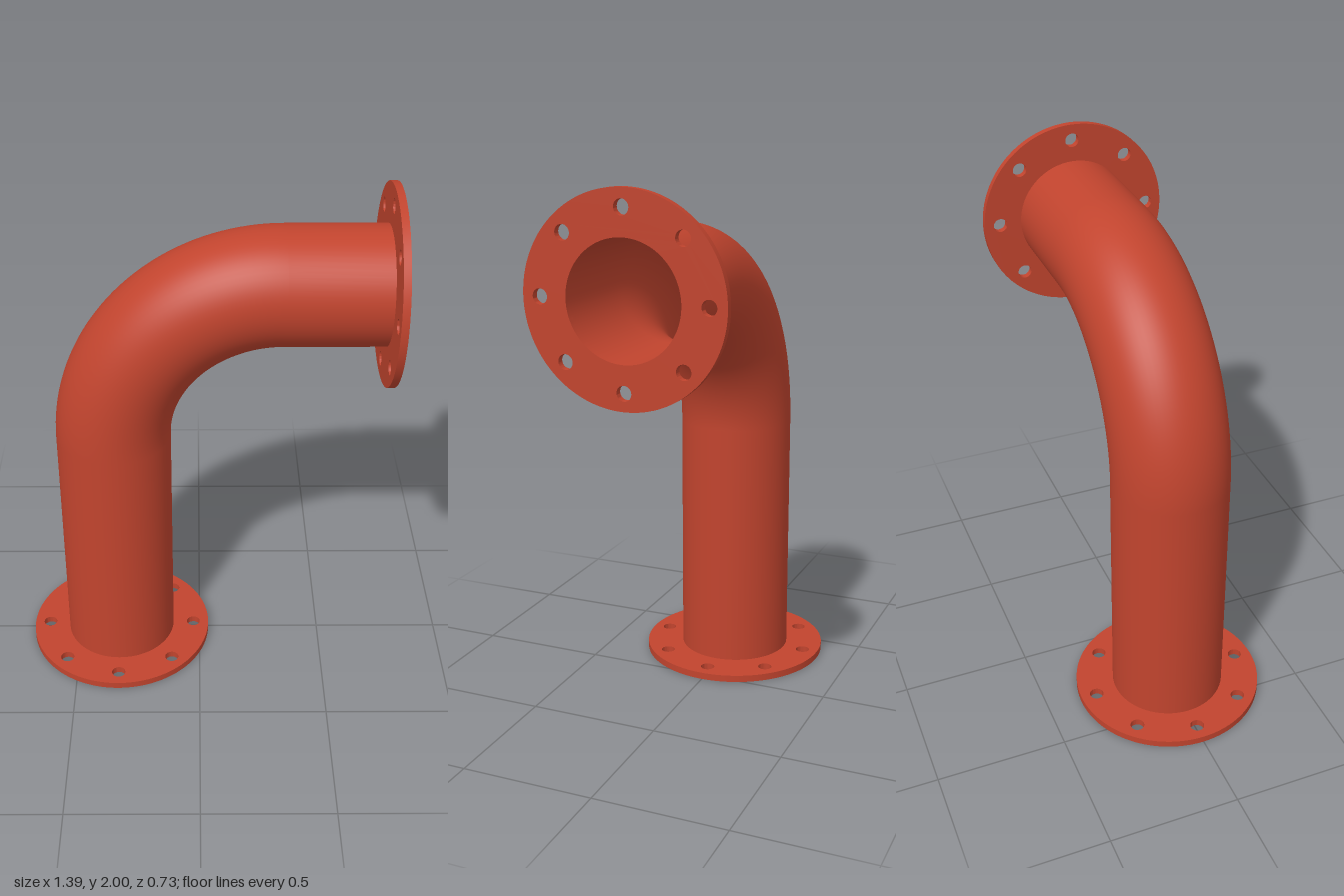
import * as THREE from 'three';
import { toCreasedNormals } from 'three/addons/utils/BufferGeometryUtils.js';

const OUTER = 0.22, INNER = 0.208;        // pipe radii
const FLANGE = 0.367, THICK = 0.027;      // flange radius and thickness
const BOLT_CIRCLE = 0.304, BOLT = 0.027;  // bolt hole layout
const AXIS_X = -0.33, AXIS_Y = 1.633;     // centre lines of the two straight runs
const BEND = 0.633, END_X = 0.697;        // bend radius and outlet face
const BEND_X = AXIS_X + BEND, BEND_Y = AXIS_Y - BEND;

export function createModel() {
  const model = new THREE.Group();
  model.name = 'flangedPipeElbow';
  const paint = new THREE.MeshStandardMaterial({ color: 0xc1442e, side: THREE.DoubleSide });
  paint.name = 'redPaint';

  const add = (name, geometry, x, y) => {
    const mesh = new THREE.Mesh(geometry, paint);
    mesh.name = name;
    mesh.position.set(x, y, 0);
    model.add(mesh);
    return mesh;
  };

  // Outer skin and inner bore, each as riser, quarter bend and outlet run
  for (const [label, radius] of [['Wall', OUTER], ['Bore', INNER]]) {
    const riser = BEND_Y - THICK;
    add('riser' + label, new THREE.CylinderGeometry(radius, radius, riser, 64, 1, true),
      AXIS_X, THICK + riser / 2);

    const bend = new THREE.TorusGeometry(BEND, radius, 64, 40, Math.PI / 2);
    bend.rotateZ(Math.PI / 2);
    add('bend' + label, bend, BEND_X, BEND_Y);

    const run = END_X - THICK - BEND_X;
    const outlet = new THREE.CylinderGeometry(radius, radius, run, 64, 1, true);
    outlet.rotateZ(Math.PI / 2);
    add('outlet' + label, outlet, BEND_X + run / 2, AXIS_Y);
  }

  // Flange disc with the bore and eight bolt holes
  const disc = new THREE.Shape().absarc(0, 0, FLANGE, 0, Math.PI * 2, false);
  const hole = (x, y, r) => disc.holes.push(new THREE.Path().absarc(x, y, r, 0, Math.PI * 2, true));
  hole(0, 0, INNER);
  for (let i = 0; i < 8; i++) {
    const a = i * Math.PI / 4;
    hole(Math.cos(a) * BOLT_CIRCLE, Math.sin(a) * BOLT_CIRCLE, BOLT);
  }
  const flange = toCreasedNormals(
    new THREE.ExtrudeGeometry(disc, { depth: THICK, bevelEnabled: false, curveSegments: 64 }), 0.6);

  add('baseFlange', flange, AXIS_X, 0).rotation.x = -Math.PI / 2;
  add('outletFlange', flange, END_X - THICK, AXIS_Y).rotation.y = Math.PI / 2;

  return model;
}
